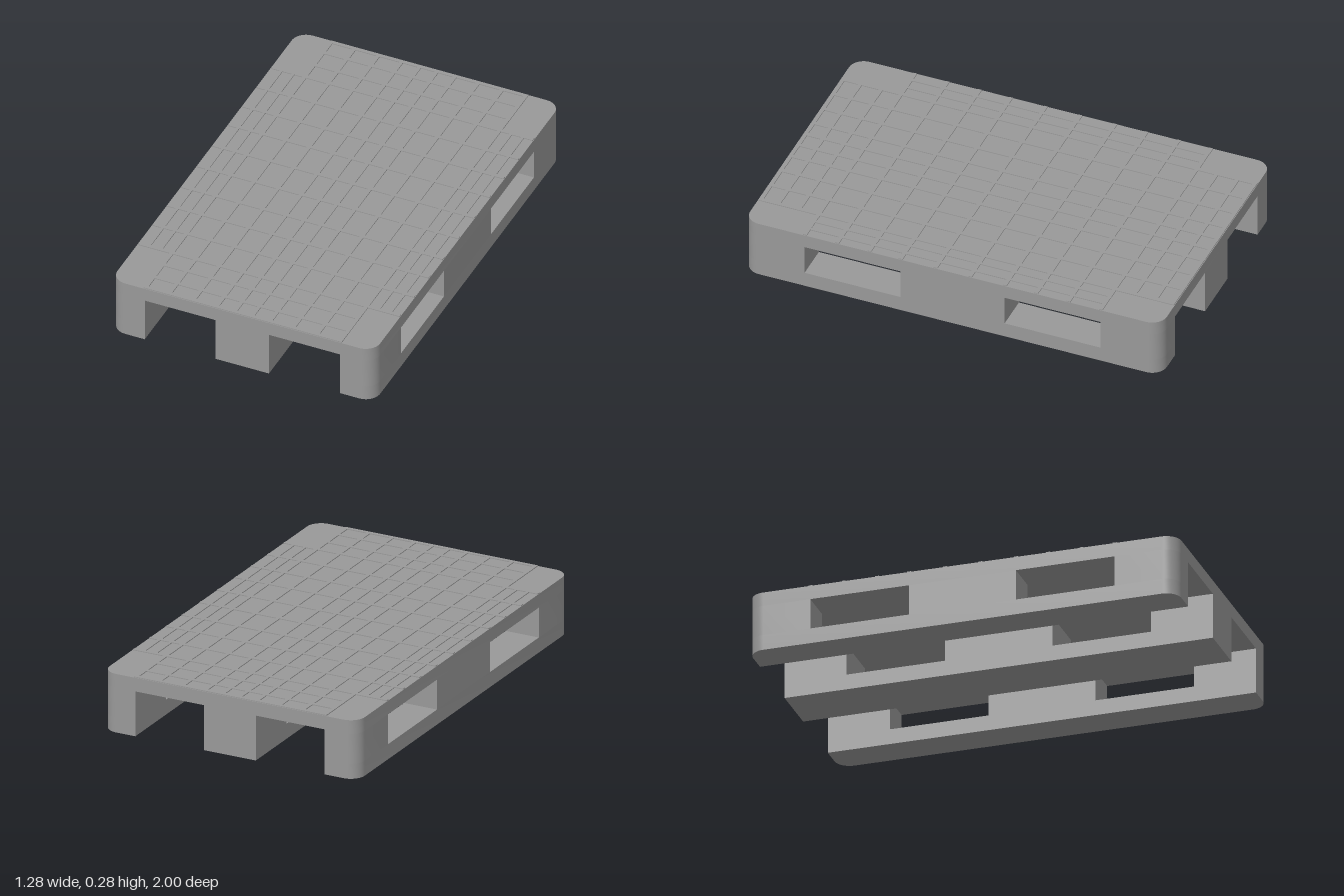
import * as THREE from 'three';
import { toCreasedNormals } from 'three/addons/utils/BufferGeometryUtils.js';

const HALF_W = 0.64, HALF_L = 1, RADIUS = 0.07;
const RAIL_TOP = 0.072, BLOCK_TOP = 0.215, DECK_TOP = 0.28, RIB_TOP = 0.284;

// Slab seen in plan; corners that lie on the pallet's own corners are rounded.
function slab(x0, x1, z0, z1, y0, y1) {
  const shape = new THREE.Shape();
  const corners = [[x0, z0, Math.PI], [x1, z0, -Math.PI / 2], [x1, z1, 0], [x0, z1, Math.PI / 2]];
  const pts = [];
  for (const [x, z, start] of corners) {
    if (Math.abs(x) < HALF_W || Math.abs(z) < HALF_L) {
      pts.push(new THREE.Vector2(x, z));
      continue;
    }
    const cx = x - Math.sign(x) * RADIUS, cz = z - Math.sign(z) * RADIUS;
    for (let i = 0; i <= 10; i++) {
      const a = start + (i / 10) * Math.PI / 2;
      pts.push(new THREE.Vector2(cx + Math.cos(a) * RADIUS, cz + Math.sin(a) * RADIUS));
    }
  }
  shape.setFromPoints(pts);
  const geo = new THREE.ExtrudeGeometry(shape, { depth: y1 - y0, bevelEnabled: false });
  geo.rotateX(Math.PI / 2).translate(0, y1, 0);
  return toCreasedNormals(geo, 0.6);
}

export function createModel() {
  const pallet = new THREE.Group();
  pallet.name = 'pallet';
  const plastic = new THREE.MeshStandardMaterial({ color: 0x999999 });
  plastic.name = 'grey plastic';

  const add = (parent, name, geo) => {
    const mesh = new THREE.Mesh(geo, plastic);
    mesh.name = name;
    parent.add(mesh);
    return mesh;
  };

  // Deck
  add(pallet, 'deck', slab(-HALF_W, HALF_W, -HALF_L, HALF_L, BLOCK_TOP, DECK_TOP));

  // Three runners: a bottom rail with three blocks, leaving two fork openings
  const runners = { rightRunner: [-HALF_W, -0.475], middleRunner: [-0.13, 0.13], leftRunner: [0.475, HALF_W] };
  for (const [name, [x0, x1]] of Object.entries(runners)) {
    const runner = new THREE.Group();
    runner.name = name;
    add(runner, 'bottomRail', slab(x0, x1, -HALF_L, HALF_L, 0, RAIL_TOP));
    for (const [z0, z1] of [[-HALF_L, -0.71], [-0.25, 0.25], [0.71, HALF_L]]) {
      add(runner, 'block', slab(x0, x1, z0, z1, RAIL_TOP, BLOCK_TOP));
    }
    pallet.add(runner);
  }

  // Low anti-slip ribs on the deck
  const ribs = new THREE.Group();
  ribs.name = 'deckRibs';
  const ribY = (DECK_TOP + RIB_TOP) / 2, ribH = RIB_TOP - DECK_TOP, ribW = 0.018;
  const rib = (name, x, z, w, l) =>
    add(ribs, name, new THREE.BoxGeometry(w, ribH, l)).position.set(x, ribY, z);
  for (const s of [-1, 1]) {
    for (const x of [0.042, 0.13, 0.243, 0.36, 0.474]) rib('longRib', s * x, 0, ribW, 1.98);
    for (const x of [0.53, 0.588]) rib('sideRib', s * x, 0, 0.014, 1.42);
    for (const z of [0.083, 0.25, 0.4, 0.555, 0.71]) rib('crossRib', 0, s * z, 1.275, ribW);
    for (const z of [0.805, 0.905, 0.988]) rib('endRib', 0, s * z, 0.965, ribW);
  }
  pallet.add(ribs);

  return pallet;
}
